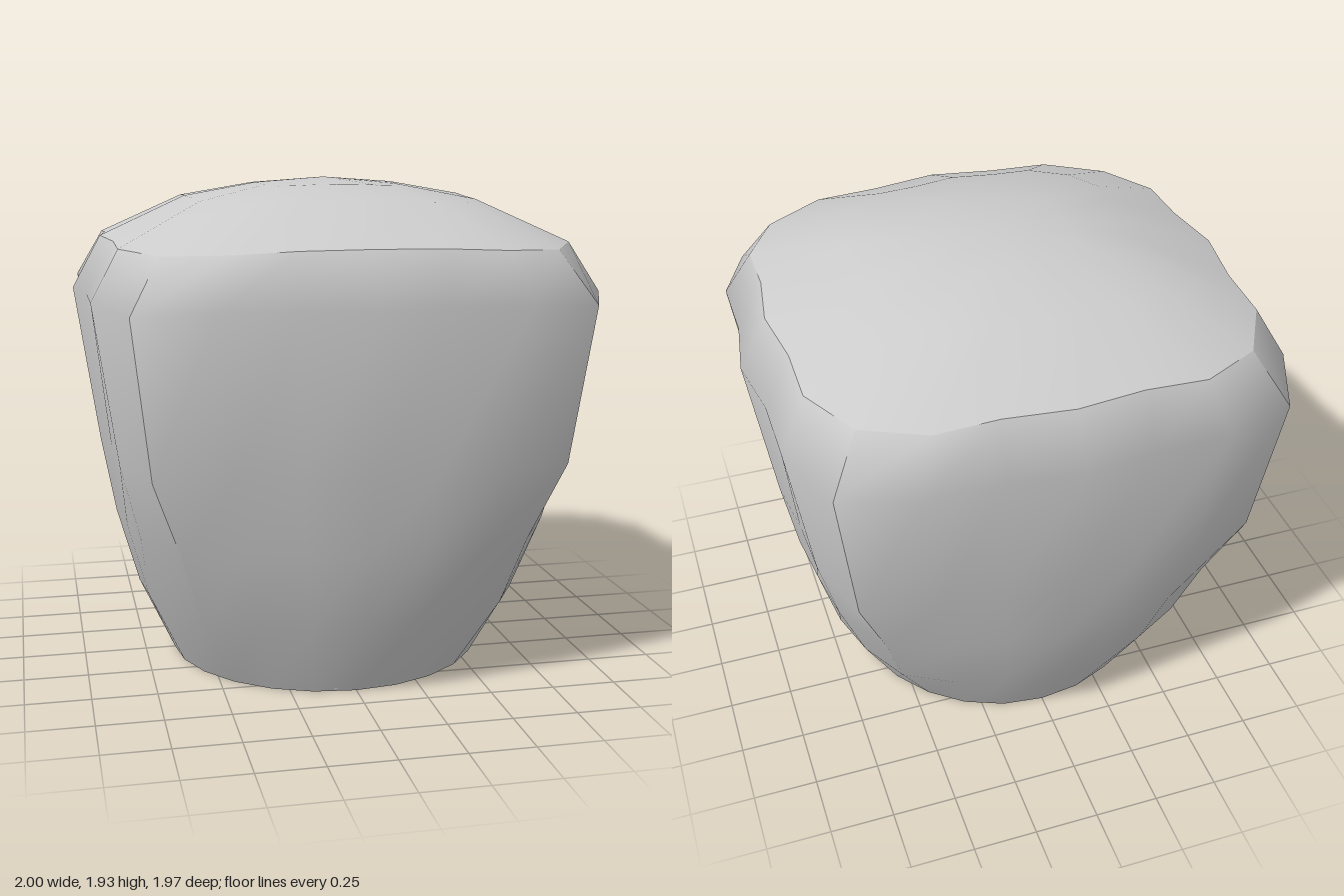
import * as THREE from 'three';

// Half outline of one side per level, from its middle to its corner:
// height, distance out from the axis, distance along the side.
const LEVELS = [
  { y: [0, 0, 0, 0], out: [0.63, 0.609, 0.546, 0.445], along: [0, 0.163, 0.315, 0.445] },
  { y: [0.3, 0.3, 0.3, 0.3], out: [0.77, 0.75, 0.69, 0.585], along: [0, 0.2, 0.4, 0.585] },
  { y: [0.6, 0.6, 0.6, 0.58], out: [0.855, 0.83, 0.795, 0.665], along: [0, 0.23, 0.46, 0.665] },
  { y: [0.9, 0.9, 0.9, 0.89], out: [0.91, 0.88, 0.87, 0.775], along: [0, 0.25, 0.5, 0.775] },
  { y: [1.51, 1.51, 1.51, 1.49], out: [1, 0.96, 0.96, 0.845], along: [0, 0.27, 0.56, 0.845] },
  { y: [1.71, 1.705, 1.695, 1.685], out: [0.89, 0.855, 0.855, 0.73], along: [0, 0.26, 0.5, 0.73] },
];
const DEPTH = 0.985;

const shellMaterial = new THREE.MeshStandardMaterial({ color: 0xcccccc, side: THREE.DoubleSide });
const frameMaterial = new THREE.MeshStandardMaterial({ color: 0xcccccc });

// Point t (-3..3) on a level, on the side turned by quarter turns
function levelPoint(level, t, quarter) {
  const i = Math.abs(t);
  const p = new THREE.Vector3(Math.sign(t) * level.along[i], level.y[i], level.out[i]);
  for (let q = 0; q < quarter; q++) p.set(p.z, p.y, -p.x);
  p.z *= DEPTH;
  return p;
}

function smoothMesh(name, points, index) {
  const g = new THREE.BufferGeometry().setFromPoints(points);
  g.setIndex(index);
  g.computeVertexNormals();
  const mesh = new THREE.Mesh(g, shellMaterial);
  mesh.name = name;
  return mesh;
}

// One curved side, smooth within itself and creased at its borders
function sidePanel(name, quarter) {
  const points = [], index = [];
  LEVELS.forEach((level, r) => {
    for (let t = -3; t <= 3; t++) points.push(levelPoint(level, t, quarter));
    if (r === 0) return;
    for (let c = 0; c < 6; c++) {
      const a = (r - 1) * 7 + c, d = a + 7;
      index.push(a, a + 1, d + 1, a, d + 1, d);
    }
  });
  return smoothMesh(name, points, index);
}

// Domed roof: concentric rings around the crown
function roof() {
  const rim = LEVELS[LEVELS.length - 1];
  const rings = [[0.31, 1.91], [0.63, 1.86], [1, 1.71]];
  const points = [new THREE.Vector3(0, 1.93, 0)], index = [];
  rings.forEach(([scale, height], k) => {
    for (let i = 0; i < 24; i++) {
      const p = levelPoint(rim, (i % 6) - 3, Math.floor(i / 6));
      const drop = (p.y - 1.71) * scale;
      points.push(new THREE.Vector3(p.x * scale, height + drop, p.z * scale));
      const j = (i + 1) % 24;
      const a = 1 + k * 24 + i, b = 1 + k * 24 + j;
      if (k === 0) index.push(0, a, b);
      else index.push(a, b, b - 24, a, b - 24, a - 24);
    }
  });
  return smoothMesh('roof', points, index);
}

export function createModel() {
  const model = new THREE.Group();
  model.name = 'lampshade';

  ['frontPanel', 'leftPanel', 'backPanel', 'rightPanel'].forEach((name, q) => model.add(sidePanel(name, q)));
  model.add(roof());

  // Thin ring around the round opening
  const ring = new THREE.Mesh(new THREE.TorusGeometry(0.62, 0.01, 6, 48), frameMaterial);
  ring.name = 'bottomRing';
  ring.rotation.x = Math.PI / 2;
  ring.scale.y = DEPTH;
  ring.position.y = 0.01;
  model.add(ring);

  // Diagonal crossbars across the opening
  for (const side of [-1, 1]) {
    const bar = new THREE.Mesh(new THREE.BoxGeometry(1.24, 0.02, 0.02), frameMaterial);
    bar.name = 'crossbar';
    bar.rotation.y = side * Math.PI / 4;
    bar.position.y = 0.01;
    model.add(bar);
  }

  // Small square block where the bars meet
  const hub = new THREE.Mesh(new THREE.BoxGeometry(0.13, 0.05, 0.13), frameMaterial);
  hub.name = 'hub';
  hub.position.y = 0.027;
  model.add(hub);

  return model;
}
